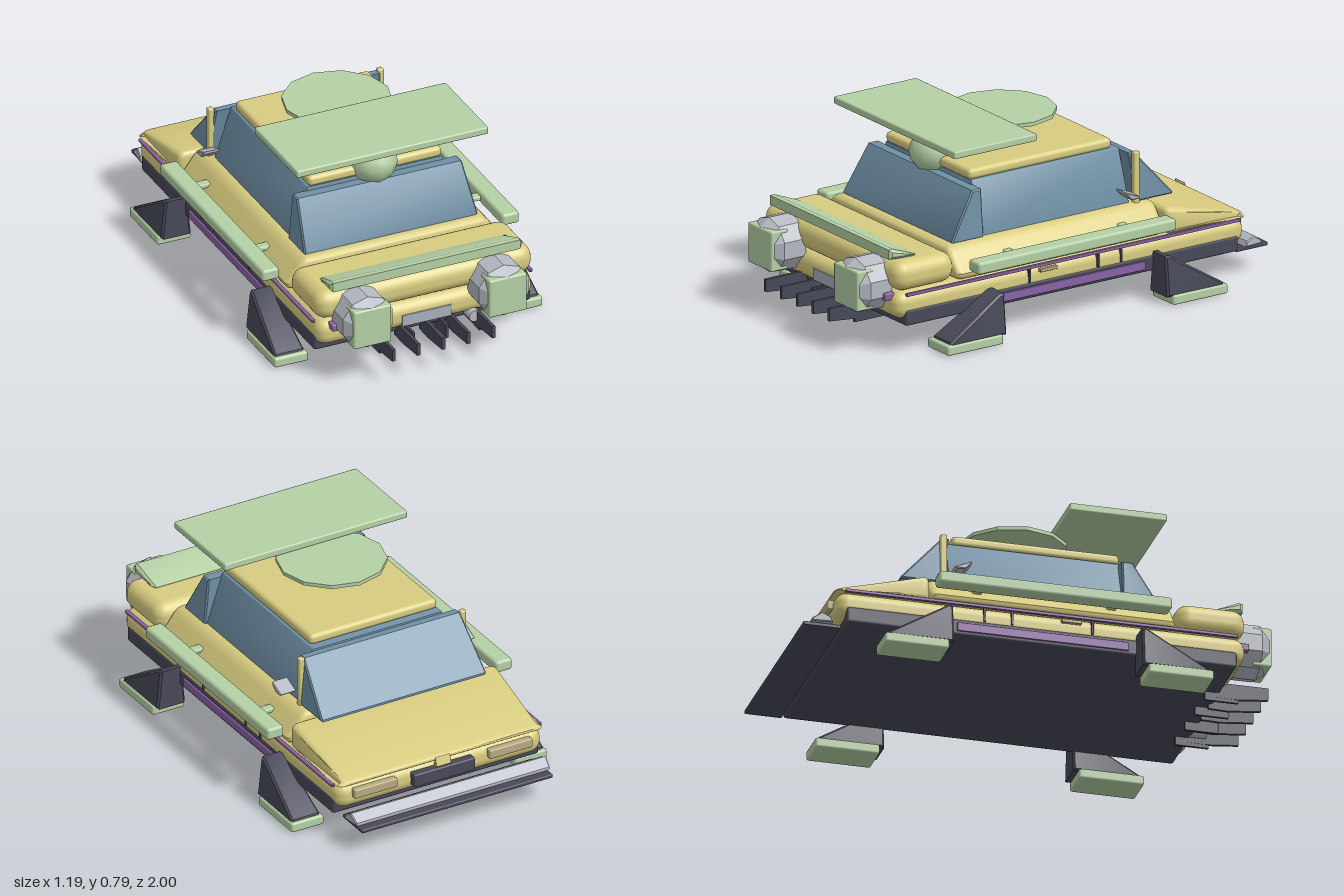
import * as THREE from 'three';
import { toCreasedNormals } from 'three/addons/utils/BufferGeometryUtils.js';
import { RoundedBoxGeometry } from 'three/addons/geometries/RoundedBoxGeometry.js';

const paint = (name, color) => Object.assign(new THREE.MeshStandardMaterial({ color }), { name });

// Box with rounded edges, given by its limits on each axis
function rounded([x0, x1], [y0, y1], [z0, z1], r, segments = 3) {
  const g = new RoundedBoxGeometry(x1 - x0, y1 - y0, z1 - z0, segments, r);
  return g.translate((x0 + x1) / 2, (y0 + y1) / 2, (z0 + z1) / 2);
}

// Moves every vertex by a rule, then rebuilds the normals
function reshape(g, rule) {
  const p = g.attributes.position, v = new THREE.Vector3();
  for (let i = 0; i < p.count; i++) {
    rule(v.fromBufferAttribute(p, i));
    p.setXYZ(i, v.x, v.y, v.z);
  }
  return toCreasedNormals(g, 0.6);
}

// Side profile of [z, y] points extruded across x with a small bevel
function prism(points, x0, x1, bevel = 0.006) {
  const shape = new THREE.Shape(points.map(([z, y]) => new THREE.Vector2(z, y)));
  const g = new THREE.ExtrudeGeometry(shape, {
    depth: x1 - x0 - 2 * bevel, bevelEnabled: bevel > 0, bevelSize: bevel,
    bevelThickness: bevel, bevelOffset: -bevel, bevelSegments: 1,
  });
  return g.rotateY(-Math.PI / 2).translate(x1 - bevel, 0, 0);
}

export function createModel() {
  const model = new THREE.Group();
  model.name = 'hoverCar';
  const yellow = paint('yellow body', 0xd8cc80);
  const green = paint('pale green', 0xb5d0a5);
  const glass = paint('blue glass', 0x7090a6);
  const dark = paint('dark trim', 0x484959);
  const purple = paint('purple trim', 0x8a62a6);
  const silver = paint('silver', 0xb6bac2);
  const lamp = paint('beige lamp', 0xb8ab80);
  const plateGrey = paint('plate grey', 0xa9b0bd);

  const add = (name, geometry, material) => {
    const m = new THREE.Mesh(geometry, material);
    m.name = name;
    model.add(m);
    return m;
  };
  const box = (name, x, y, z, material, r = 0.006) => add(name, rounded(x, y, z, r, 1), material);
  const pairBox = (name, [x0, x1], y, z, material, r) => {
    box(name + 'Left', [x0, x1], y, z, material, r);
    box(name + 'Right', [-x1, -x0], y, z, material, r);
  };
  const pairPrism = (name, points, x0, x1, material, bevel) => {
    add(name + 'Left', prism(points, x0, x1, bevel), material);
    add(name + 'Right', prism(points, -x1, -x0, bevel), material);
  };

  // Body shell
  box('underbody', [-0.482, 0.482], [0.12, 0.19], [-0.83, 0.80], dark, 0.012);
  add('lowerBody', rounded([-0.48, 0.48], [0.145, 0.262], [-0.87, 0.84], 0.05), yellow);
  add('rearDeck', rounded([-0.482, 0.482], [0.262, 0.388], [0.55, 0.84], 0.055), yellow);
  add('middleBody', reshape(rounded([-0.48, 0.48], [0.26, 0.39], [-0.475, 0.545], 0.03), (v) => {
    v.x *= 1 - 0.16 * Math.max(0, (v.y - 0.29) / 0.1);
  }), yellow);
  add('bonnet', reshape(rounded([-0.48, 0.48], [0.255, 0.375], [-0.872, -0.48], 0.03), (v) => {
    const t = (-0.48 - v.z) / 0.392;
    v.y = 0.255 + (v.y - 0.255) * (1 - 0.83 * t);
    v.x *= 1 - 0.05 * t * (v.y > 0.262 ? 1 : 0);
  }), yellow);

  // Cabin
  add('sideGlass', reshape(rounded([-0.375, 0.375], [0.385, 0.605], [-0.37, 0.355], 0.006, 1), (v) => {
    v.x *= 1 - 0.2 * (v.y - 0.385) / 0.22;
  }), glass);
  const slopeIn = (v) => { v.x *= 1 - 0.3 * Math.max(0, v.y - 0.43); };
  add('windscreen', reshape(prism([[-0.575, 0.39], [-0.575, 0.4], [-0.4, 0.597], [-0.37, 0.597], [-0.41, 0.39]], -0.385, 0.385), slopeIn), glass);
  add('rearWindow', reshape(prism([[0.505, 0.385], [0.505, 0.4], [0.395, 0.587], [0.35, 0.587], [0.35, 0.385]], -0.385, 0.385), slopeIn), glass);
  add('roof', rounded([-0.297, 0.297], [0.603, 0.648], [-0.34, 0.36], 0.018), yellow);
  pairBox('cabinPost', [0.364, 0.39], [0.37, 0.603], [-0.412, -0.384], yellow);
  pairPrism('mirror', [[-0.3, 0.455], [-0.3, 0.465], [-0.37, 0.437], [-0.36, 0.428], [-0.325, 0.43]], 0.38, 0.455, silver, 0.004);

  // Roof equipment
  const sphere = new THREE.SphereGeometry(1, 12, 8).scale(0.104, 0.094, 0.107);
  add('roofSphere', sphere, green).position.set(0, 0.644, 0.323);
  const disc = new THREE.CylinderGeometry(0.225, 0.225, 0.016, 12);
  add('roofDisc', toCreasedNormals(disc, 0.4), green).position.set(0, 0.752, -0.004);
  box('roofPanel', [-0.426, 0.426], [0.76, 0.792], [0.117, 0.523], green, 0.007);

  // Tail spoiler
  add('spoiler', reshape(prism([[0.84, 0.395], [0.84, 0.436], [0.82, 0.437], [0.7, 0.39], [0.7, 0.38]], -0.428, 0.428, 0.012), (v) => {
    v.x *= 1 - 0.25 * Math.max(0, 0.84 - v.z);
  }), green);

  // Side rails, stripes, skirts and door details
  pairBox('sideRail', [0.495, 0.572], [0.305, 0.356], [-0.467, 0.505], green, 0.012);
  pairBox('railMount', [0.43, 0.5], [0.32, 0.34], [-0.3, -0.26], green);
  pairBox('railMountRear', [0.43, 0.5], [0.32, 0.34], [0.26, 0.3], green);
  pairBox('sideStripe', [0.476, 0.491], [0.249, 0.263], [-0.835, 0.8], purple, 0.003);
  pairBox('sideSkirt', [0.476, 0.489], [0.135, 0.172], [-0.37, 0.345], purple, 0.003);
  [0.195, -0.14, -0.255].forEach((z, i) =>
    pairBox('doorSeam' + i, [0.47, 0.486], [0.19, 0.252], [z - 0.005, z + 0.005], dark, 0.002));
  pairBox('doorHandle', [0.475, 0.493], [0.226, 0.241], [0.065, 0.148], lamp, 0.003);

  // Four legs with flat feet
  const legProfile = [[0.655, 0.035], [0.65, 0.05], [0.4, 0.205], [0.378, 0.205], [0.378, 0.035]];
  for (const [name, place, footZ] of [
    ['rear', (z) => z, [0.4, 0.672]],
    ['front', (z) => -z - 0.032, [-0.7, -0.432]],
  ]) {
    for (const [side, s] of [['Left', 1], ['Right', -1]]) {
      const points = legProfile.map(([z, y]) => [place(z), y]);
      const leg = prism(points, s * 0.522 - 0.066, s * 0.522 + 0.066, 0.008);
      add(name + 'Leg' + side, reshape(leg, (v) => {
        const t = Math.max(0, (v.y - 0.16) / 0.045);
        v.x = s * 0.522 + (v.x - s * 0.522) * (1 - 0.3 * t);
      }), dark);
    }
    pairBox(name + 'Foot', [0.446, 0.596], [0, 0.042], footZ, green, 0.009);
  }

  // Rear thrusters: faceted casing with a square nozzle
  const casing = [[0, 0.82], [0.116, 0.82], [0.116, 0.925], [0.082, 0.968], [0, 0.968]];
  for (const s of [1, -1]) {
    const g = new THREE.LatheGeometry(casing.map(([r, z]) => new THREE.Vector2(r, z)), 10).rotateX(Math.PI / 2);
    const m = add(s > 0 ? 'thrusterLeft' : 'thrusterRight', toCreasedNormals(g.toNonIndexed(), 0.3), silver);
    m.position.set(s * 0.302, 0.275, 0);
  }
  pairBox('thrusterNozzle', [0.217, 0.385], [0.188, 0.358], [0.89, 0.972], green, 0.008);
  pairBox('tailLamp', [0.385, 0.43], [0.226, 0.257], [0.82, 0.865], purple);

  // Rear plate, exhaust and diffuser fins
  box('rearPlate', [-0.11, 0.11], [0.163, 0.214], [0.835, 0.844], plateGrey, 0.002);
  const pipe = new THREE.CylinderGeometry(0.025, 0.025, 0.08, 12).rotateX(Math.PI / 2);
  add('exhaust', toCreasedNormals(pipe, 0.6), silver).position.set(0.205, 0.145, 0.82);
  [-0.222, -0.111, 0, 0.111, 0.222].forEach((x, i) =>
    add('diffuserFin' + i, prism([[0.78, 0.165], [1, 0.165], [1, 0.112], [0.86, 0.098], [0.78, 0.1]], x - 0.007, x + 0.007, 0), dark));
  [-0.222, -0.075, 0.075, 0.222].forEach((x, i) =>
    box('lowerFin' + i, [x - 0.006, x + 0.006], [0.083, 0.145], [0.735, 0.875], dark, 0.002));

  // Nose: splitter, bumper blade, grille and lamps
  box('splitter', [-0.445, 0.445], [0.103, 0.119], [-1, -0.845], dark, 0.004);
  add('bumperBlade', reshape(prism([[-0.88, 0.122], [-0.89, 0.145], [-0.925, 0.163], [-0.965, 0.135], [-0.965, 0.122]], -0.46, 0.46, 0.004),
    (v) => { v.x *= 1 - 0.4 * Math.max(0, -0.88 - v.z) * 0.5; }), silver);
  box('noseGrille', [-0.142, 0.142], [0.178, 0.235], [-0.9, -0.86], dark);
  pairBox('headlamp', [0.215, 0.415], [0.2, 0.24], [-0.892, -0.86], lamp);
  add('noseOrnament', prism([[-0.868, 0.235], [-0.88, 0.278], [-0.892, 0.24], [-0.88, 0.228]], -0.035, 0.035, 0.002), yellow);

  return model;
}
